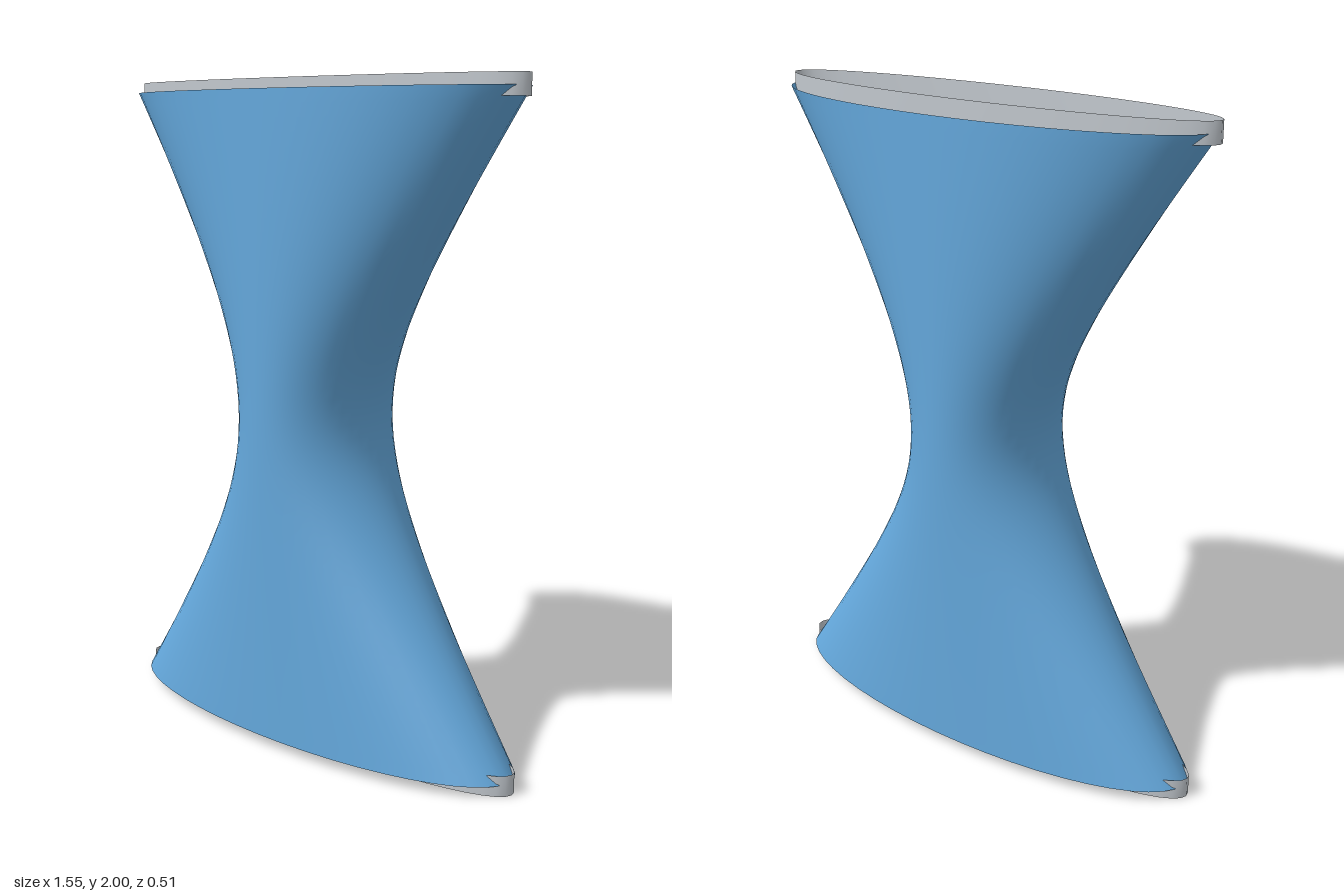
import * as THREE from 'three';
import { mergeVertices } from 'three/addons/utils/BufferGeometryUtils.js';

const SEGMENTS = 48;

// Open elliptical tube whose x radius follows a rule of height; z radius is constant
function ellipticalTube(height, rows, radiusX, radiusZ) {
  let geometry = new THREE.CylinderGeometry(1, 1, height, SEGMENTS, rows, true);
  const p = geometry.attributes.position;
  for (let i = 0; i < p.count; i++) {
    p.setX(i, p.getX(i) * radiusX(p.getY(i)));
    p.setZ(i, p.getZ(i) * radiusZ);
  }
  // Weld the seam so the shading stays smooth all the way round
  geometry.deleteAttribute('uv');
  geometry.deleteAttribute('normal');
  geometry = mergeVertices(geometry, 1e-5);
  geometry.computeVertexNormals();
  return geometry;
}

export function createModel() {
  const group = new THREE.Group();
  group.name = 'waistedStool';
  const blue = new THREE.MeshStandardMaterial({ name: 'blue', color: 0x64a8dc, side: THREE.DoubleSide });
  const grey = new THREE.MeshStandardMaterial({ name: 'lightGrey', color: 0xc2c8ce, side: THREE.DoubleSide });

  // Shell: wide at both ends, pinched at the middle along a hyperbola
  const shell = new THREE.Mesh(
    ellipticalTube(1.934, 48, (y) => Math.hypot(0.215, 0.755 * y), 0.254), blue);
  shell.name = 'shell';
  shell.position.y = 1;
  group.add(shell);

  // Thin upright bands crossing each open end
  const bandHeight = 0.062;
  const bandGeometry = ellipticalTube(bandHeight, 1, () => 0.773, 0.152);
  for (const [name, y] of [['bottomBand', bandHeight / 2], ['topBand', 2 - bandHeight / 2]]) {
    const band = new THREE.Mesh(bandGeometry, grey);
    band.name = name;
    band.position.y = y;
    group.add(band);
  }
  return group;
}
